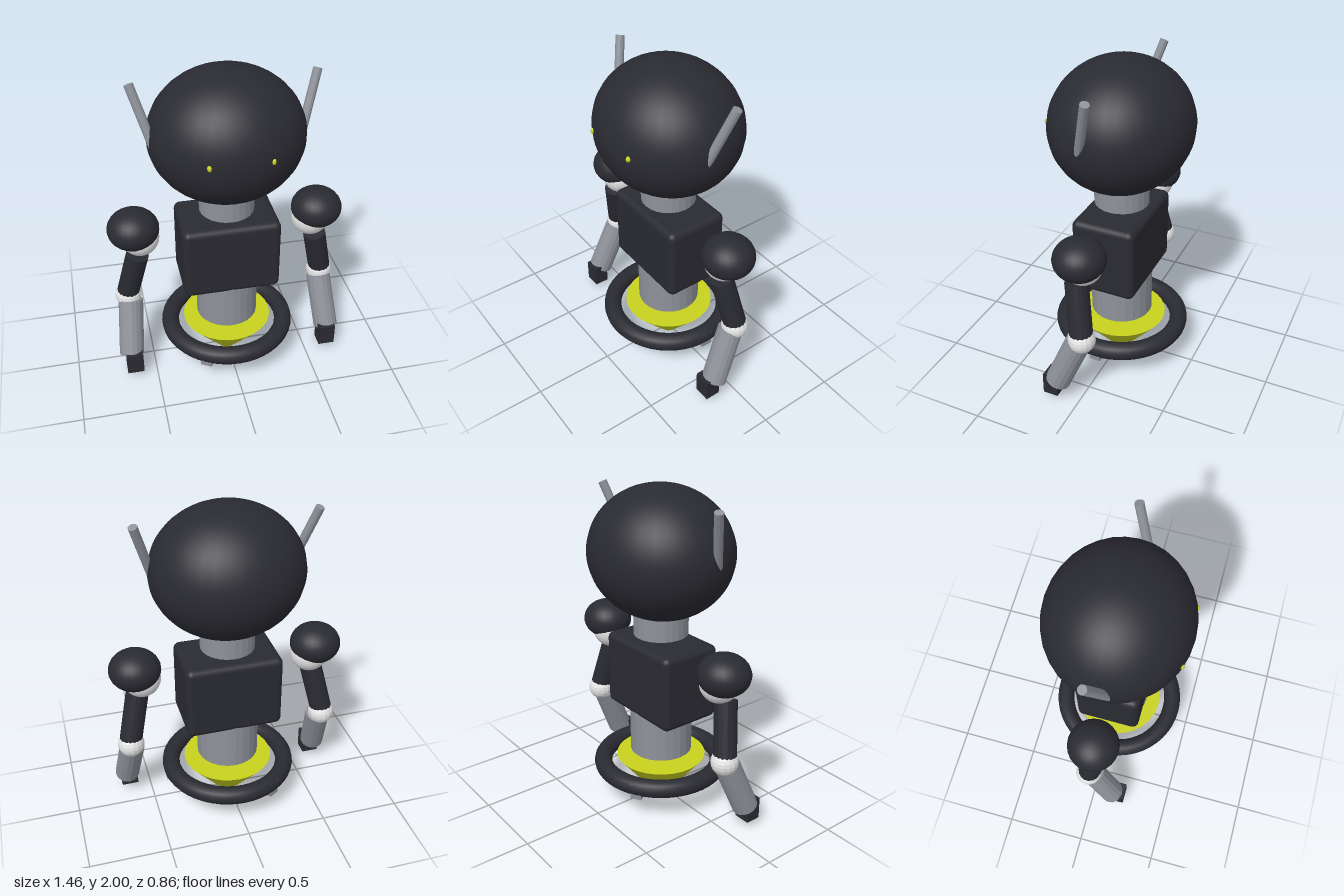
import * as THREE from 'three';
import { RoundedBoxGeometry } from 'three/addons/geometries/RoundedBoxGeometry.js';

const V = (x, y, z) => new THREE.Vector3(x, y, z);

function material(name, color) {
  const m = new THREE.MeshStandardMaterial({ color });
  m.name = name;
  return m;
}

// Gives each face its own normal
function faceted(geometry) {
  const g = geometry.toNonIndexed();
  g.computeVertexNormals();
  return g;
}

export function createModel() {
  const dark = material('charcoal', 0x2a2a32);
  const grey = material('steelGrey', 0x8e9299);
  const white = material('jointWhite', 0xe6e6e6);
  const yellow = material('glowYellow', 0xc8d21e);

  const root = new THREE.Group();
  root.name = 'hoverRobot';

  function add(parent, name, geometry, mat, position) {
    const mesh = new THREE.Mesh(geometry, mat);
    mesh.name = name;
    mesh.position.copy(position);
    parent.add(mesh);
    return mesh;
  }

  // Cylinder running between two points
  function rod(parent, name, from, to, radius, mat, sides = 16) {
    const dir = to.clone().sub(from);
    const g = faceted(new THREE.CylinderGeometry(radius, radius, dir.length(), sides));
    const mesh = add(parent, name, g, mat, from.clone().add(to).multiplyScalar(0.5));
    mesh.quaternion.setFromUnitVectors(V(0, 1, 0), dir.normalize());
    return mesh;
  }

  // Head, neck, torso and waist
  add(root, 'head', new THREE.SphereGeometry(1, 32, 32), dark, V(0, 1.6, 0)).scale.set(0.46, 0.4, 0.425);
  rod(root, 'neck', V(0, 1.095, 0), V(0, 1.3, 0), 0.168, grey, 24);
  add(root, 'torso', new RoundedBoxGeometry(0.6, 0.475, 0.4, 4, 0.04), dark, V(0, 0.823, 0));
  rod(root, 'waist', V(0, 0.31, 0), V(0, 0.65, 0), 0.195, grey, 24);

  // Hover base: thruster cone, ring and three ring clamps
  add(root, 'thrusterCone', faceted(new THREE.CylinderGeometry(0.283, 0.063, 0.265, 32)), yellow, V(0, 0.1325, 0));
  const ring = new THREE.TorusGeometry(0.373, 0.056, 16, 48).rotateX(Math.PI / 2);
  add(root, 'hoverRing', ring, dark, V(0, 0.221, 0));
  for (let i = 0; i < 3; i++) {
    const a = (i * Math.PI * 2) / 3;
    const clamp = add(root, 'ringClamp', new THREE.BoxGeometry(0.03, 0.1, 0.07), grey,
      V(0.4 * Math.cos(a), 0.205, 0.4 * Math.sin(a)));
    clamp.rotation.y = -a;
  }

  // Paired parts: eye, antenna and arm
  for (const s of [1, -1]) {
    const side = s > 0 ? 'left' : 'right';
    add(root, side + 'Eye', new THREE.SphereGeometry(0.02, 12, 8), yellow, V(s * 0.175, 1.613, 0.386)).scale.x = 0.65;
    rod(root, side + 'Antenna', V(s * 0.42, 1.57, 0.068), V(s * 0.532, 1.935, -0.038), 0.027, grey, 12);

    const arm = new THREE.Group();
    arm.name = side + 'Arm';
    root.add(arm);
    add(arm, 'shoulderCap', new THREE.SphereGeometry(1, 24, 20), dark, V(s * 0.572, 1.021, 0)).scale.set(0.158, 0.126, 0.155);
    add(arm, 'shoulderJoint', new THREE.SphereGeometry(0.118, 24, 20), white, V(s * 0.535, 0.957, 0));
    rod(arm, 'upperArm', V(s * 0.56, 0.85, 0.03), V(s * 0.635, 0.515, -0.03), 0.07, dark);
    add(arm, 'elbow', faceted(new THREE.SphereGeometry(0.083, 16, 12)), white, V(s * 0.632, 0.5, -0.03));
    rod(arm, 'forearm', V(s * 0.622, 0.475, -0.007), V(s * 0.653, 0.143, 0.132), 0.078, grey);
    add(arm, 'hand', new THREE.BoxGeometry(0.105, 0.14, 0.095), dark, V(s * 0.64, 0.114, 0.167));
  }

  return root;
}
